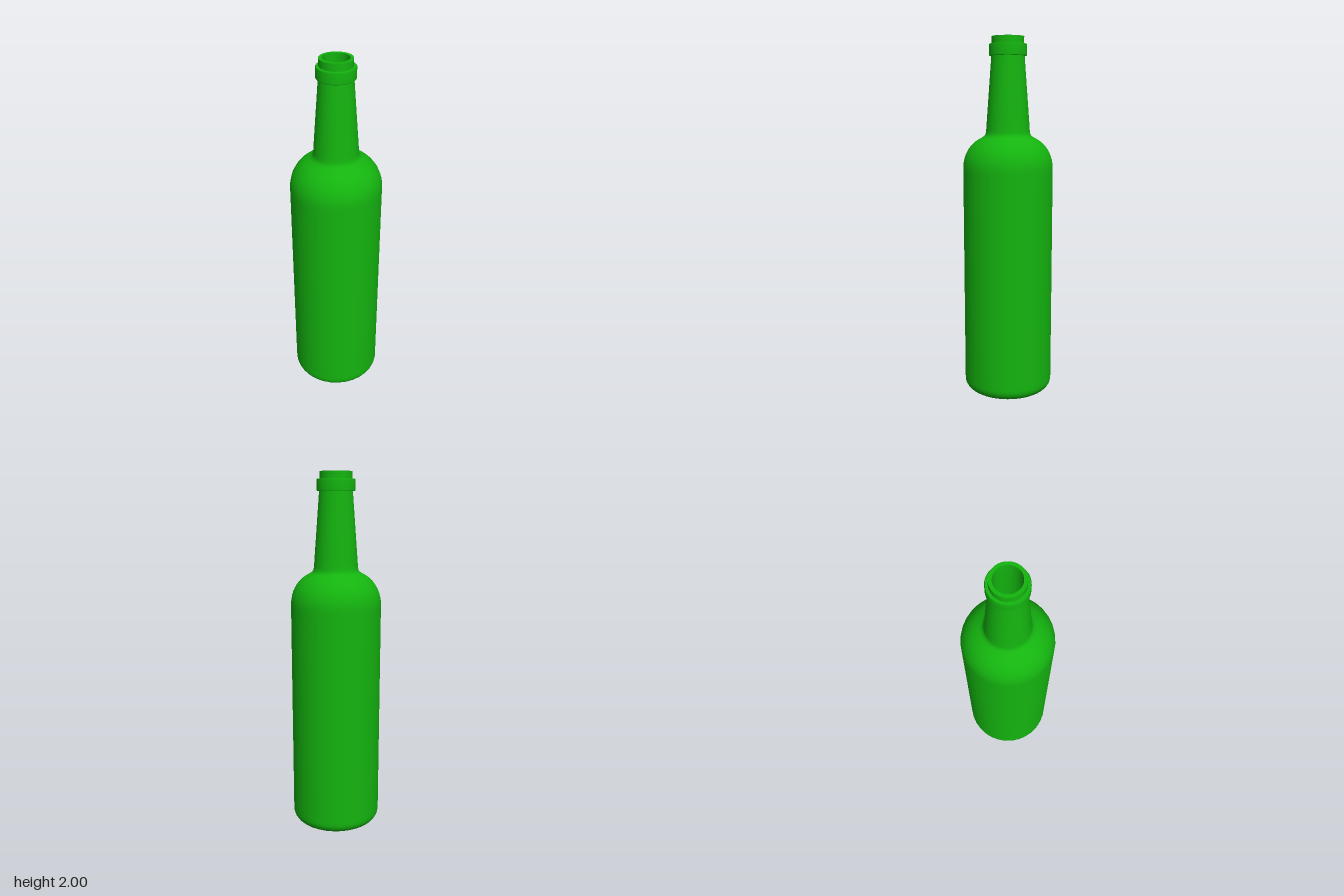
import * as THREE from 'three';

const SIDES = 32;

export function createModel() {
  const bottle = new THREE.Group();
  bottle.name = 'bottle';
  const glass = new THREE.MeshStandardMaterial({ color: 0x14b40f });

  // Each lathe is smooth; separate lathes meet at sharp edges.
  function turned(name, profile) {
    const points = profile.map(([r, y]) => new THREE.Vector2(r, y));
    const mesh = new THREE.Mesh(new THREE.LatheGeometry(points, SIDES), glass);
    mesh.name = name;
    bottle.add(mesh);
  }

  // Elliptical arc of profile points, angles in degrees
  function arc(cx, cy, rx, ry, from, to, steps) {
    return Array.from({ length: steps + 1 }, (_, i) => {
      const a = THREE.MathUtils.degToRad(from + (to - from) * i / steps);
      return [cx + rx * Math.cos(a), cy + ry * Math.sin(a)];
    });
  }

  // Flat base, rounded heel, straight wall, shoulder and tapering neck
  turned('body', [
    [0, 0], [0.17, 0],
    ...arc(0.19, 0.06, 0.06, 0.06, -90, 0, 7),
    [0.25, 0.08], [0.25, 1.26],
    ...arc(0.09, 1.285, 0.16, 0.18, 0, 66, 9),
    [0.142, 1.457], [0.131, 1.464], [0.124, 1.475], [0.121, 1.49],
    [0.119, 1.52], [0.092, 1.88], [0.091, 1.9],
  ]);

  // Collar ring below the mouth
  turned('collarUnderside', [[0.088, 1.897], [0.101, 1.897]]);
  turned('collarBand', [[0.101, 1.897], [0.104, 1.901], [0.104, 1.956], [0.101, 1.96]]);
  turned('collarTop', [[0.101, 1.96], [0.088, 1.96]]);

  // Mouth
  turned('lip', [[0.088, 1.96], [0.088, 2]]);
  turned('rim', [[0.088, 2], [0.07, 2]]);

  // Hollow inside, from the mouth down to the floor
  turned('innerWall', [
    [0.07, 2], [0.072, 1.9], [0.1, 1.5], [0.107, 1.47], [0.125, 1.442],
    ...arc(0.09, 1.285, 0.14, 0.16, 66, 0, 7),
    [0.23, 1.26], [0.23, 0.08],
    ...arc(0.19, 0.06, 0.04, 0.04, 0, -90, 5),
    [0.17, 0.02], [0, 0.02],
  ]);

  return bottle;
}
